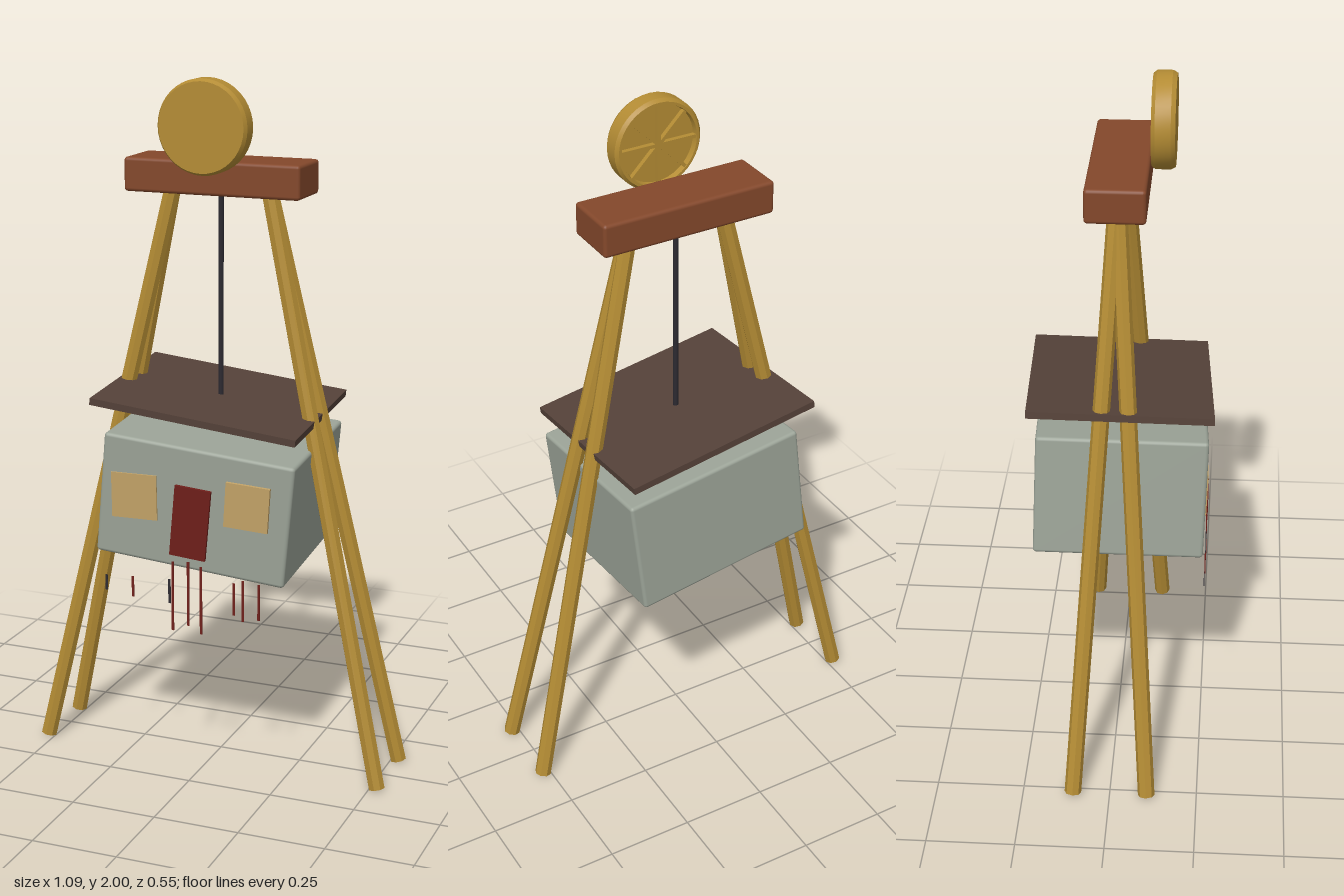
import * as THREE from 'three';
import { toCreasedNormals } from 'three/addons/utils/BufferGeometryUtils.js';
import { RoundedBoxGeometry } from 'three/addons/geometries/RoundedBoxGeometry.js';

function material(name, color) {
  const m = new THREE.MeshStandardMaterial({ color });
  m.name = name;
  return m;
}

export function createModel() {
  const gold = material('goldenWood', 0xb48c34);
  const brown = material('beamWood', 0x84482b);
  const roofBrown = material('roofBrown', 0x554239);
  const grey = material('wallGrey', 0x9ca498);
  const tan = material('windowTan', 0xc4a468);
  const red = material('doorRed', 0x6f1f1a);
  const dark = material('ropeDark', 0x2c2a31);

  const model = new THREE.Group();
  model.name = 'hangingHouse';
  const add = (name, geometry, mat, x, y, z, parent = model) => {
    const mesh = new THREE.Mesh(geometry, mat);
    mesh.name = name;
    mesh.position.set(x, y, z);
    parent.add(mesh);
    return mesh;
  };

  // Four splayed poles meeting in pairs under the beam
  const up = new THREE.Vector3(0, 1, 0);
  for (const sx of [-1, 1]) {
    for (const sz of [-1, 1]) {
      const foot = new THREE.Vector3(0.522 * sx, 0.006, 0.106 * sz);
      const top = new THREE.Vector3(0.137 * sx, 1.72, 0);
      const axis = top.clone().sub(foot);
      const mid = foot.clone().add(top).multiplyScalar(0.5);
      const geo = new THREE.CylinderGeometry(0.024, 0.024, axis.length(), 8).toNonIndexed();
      geo.computeVertexNormals();
      const name = (sz > 0 ? 'front' : 'back') + (sx > 0 ? 'Left' : 'Right') + 'Leg';
      add(name, geo, gold, mid.x, mid.y, mid.z)
        .quaternion.setFromUnitVectors(up, axis.normalize());
    }
  }

  // Cross beam and rope
  add('beam', new RoundedBoxGeometry(0.52, 0.096, 0.164, 2, 0.01), brown, 0, 1.722, 0);
  add('rope', new THREE.CylinderGeometry(0.008, 0.008, 0.62, 8), dark, 0, 1.39, 0);

  // Wheel: closed at the front, hollow and spoked at the back
  const wheel = new THREE.Group();
  wheel.name = 'wheel';
  wheel.position.set(0, 1.868, 0.117);
  model.add(wheel);
  const profile = [
    [0, -0.016], [0.112, -0.016], [0.115, -0.032], [0.123, -0.032],
    [0.131, -0.022], [0.131, 0.02], [0.124, 0.032], [0, 0.032],
  ].map(([r, h]) => new THREE.Vector2(r, h));
  const drum = toCreasedNormals(new THREE.LatheGeometry(profile, 40), 0.5);
  add('wheelDrum', drum, gold, 0, 0, 0, wheel).rotation.x = Math.PI / 2;
  for (let i = 0; i < 4; i++) {
    add('wheelSpoke', new THREE.BoxGeometry(0.228, 0.01, 0.016), gold, 0, 0, -0.022, wheel)
      .rotation.z = i * Math.PI / 4;
  }

  // House body, hanging askew
  const house = new THREE.Group();
  house.name = 'house';
  house.position.set(0, 0.826, 0);
  house.rotation.set(0.035, 0.05, -0.1);
  model.add(house);
  add('walls', new RoundedBoxGeometry(0.56, 0.356, 0.48, 2, 0.01), grey, 0, 0, 0, house);

  // Windows and door, each a thin plate: name, width, height, material, x, y, z, tilt
  const plates = [
    ['rightWindow', 0.135, 0.132, tan, -0.176, 0.009, 0.24, 0.1],
    ['leftWindow', 0.128, 0.13, tan, 0.156, 0.042, 0.245, 0.03],
    ['door', 0.106, 0.208, red, -0.004, -0.037, 0.245, 0],
  ];
  for (const [name, w, h, mat, x, y, z, tilt] of plates) {
    add(name, new THREE.BoxGeometry(w, h, 0.0095), mat, x, y, z, house).rotation.z = tilt;
  }

  // Loose roof slab
  add('roof', new THREE.BoxGeometry(0.602, 0.02, 0.515), roofBrown, 0, 1.086, 0)
    .rotation.set(0.038, 0.05, -0.118);

  // Drips under the front wall: x, bottom, top, material
  const drips = [
    [-0.25, 0.555, 0.6, dark], [-0.168, 0.545, 0.606, red], [-0.055, 0.54, 0.612, dark],
    [-0.045, 0.46, 0.665, red], [0.002, 0.48, 0.67, red], [0.041, 0.46, 0.66, red],
    [0.14, 0.53, 0.625, red], [0.167, 0.515, 0.635, red], [0.214, 0.525, 0.63, red],
  ];
  for (const [x, y0, y1, mat] of drips) {
    add('drip', new THREE.BoxGeometry(0.007, y1 - y0, 0.002), mat, x, (y0 + y1) / 2, 0.254);
  }

  return model;
}
